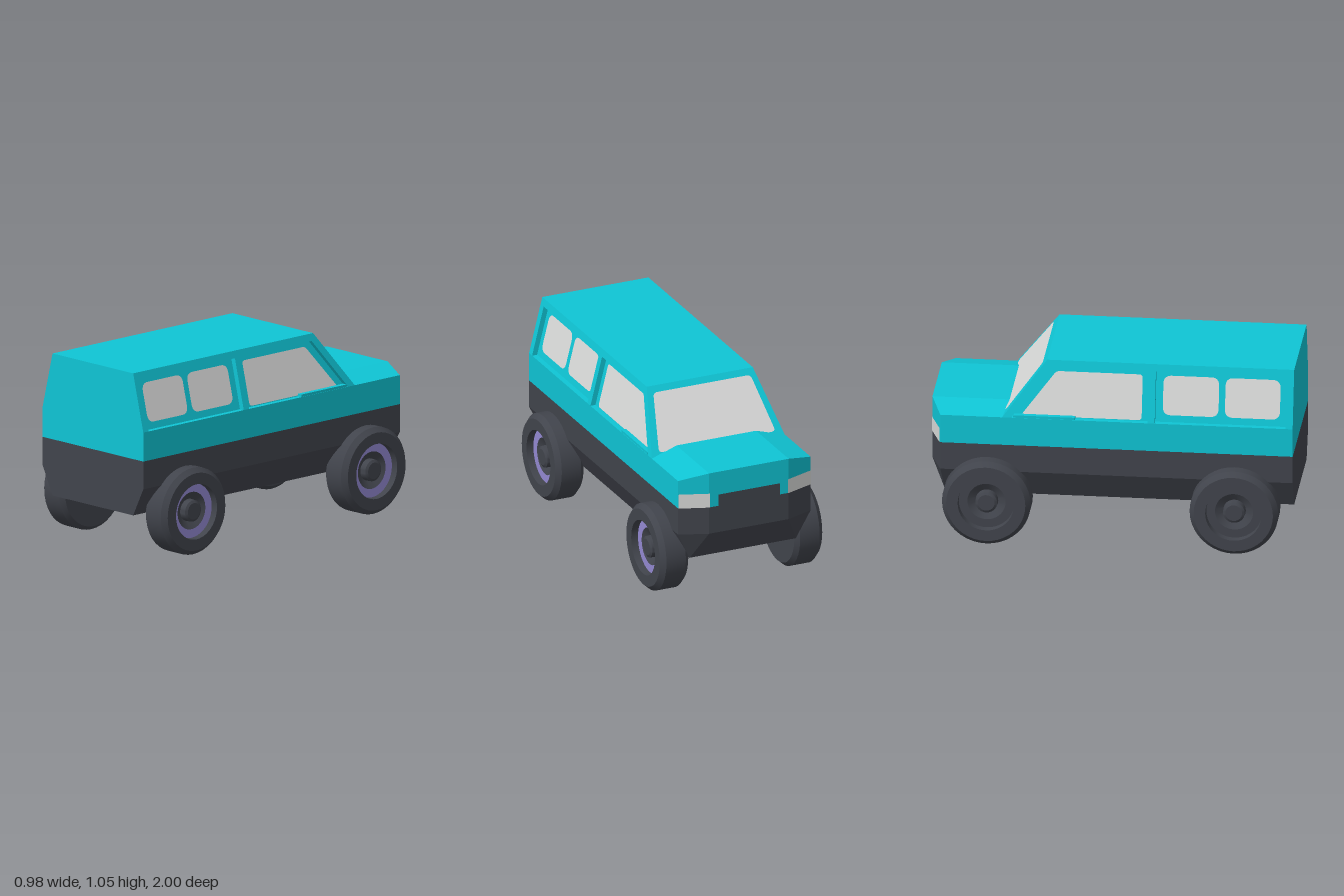
import * as THREE from 'three';
import { toCreasedNormals } from 'three/addons/utils/BufferGeometryUtils.js';

const mat = (name, color) => {
  const m = new THREE.MeshStandardMaterial({ color });
  m.name = name;
  return m;
};

// Flat faces from corner loops, each turned to face away from the body centre
function facesGeometry(faces) {
  const centre = new THREE.Vector3(0, 0.55, 0);
  const out = [];
  for (const face of faces) {
    const p = face.map((c) => new THREE.Vector3(...c));
    for (let i = 1; i < p.length - 1; i++) {
      const [a, b, c] = [p[0], p[i], p[i + 1]];
      const n = b.clone().sub(a).cross(c.clone().sub(a));
      const outward = n.dot(a.clone().sub(centre)) > 0;
      for (const v of outward ? [a, b, c] : [a, c, b]) out.push(v.x, v.y, v.z);
    }
  }
  const g = new THREE.BufferGeometry();
  g.setAttribute('position', new THREE.Float32BufferAttribute(out, 3));
  g.computeVertexNormals();
  return g;
}

// Face plus its mirror image across x = 0
const both = (f) => [f, f.map(([x, y, z]) => [-x, y, z])];
// Symmetric quad spanning x = 0, from two half-width points
const span = ([x1, y1, z1], [x2, y2, z2]) => [[x1, y1, z1], [-x1, y1, z1], [-x2, y2, z2], [x2, y2, z2]];

function warp(geometry, rule) {
  const g = geometry.index ? geometry.toNonIndexed() : geometry;
  const p = g.attributes.position;
  for (let i = 0; i < p.count; i++) p.setXYZ(i, ...rule(p.getX(i), p.getY(i), p.getZ(i)));
  g.computeVertexNormals();
  return g;
}

function mirrorX(geometry) {
  const g = geometry.clone();
  const p = g.attributes.position;
  const q = geometry.attributes.position;
  for (let i = 0; i < p.count; i++) {
    const j = i - (i % 3) + [0, 2, 1][i % 3];
    p.setXYZ(i, -q.getX(j), q.getY(j), q.getZ(j));
  }
  g.computeVertexNormals();
  return g;
}

const polygon = (pts) => new THREE.Shape(pts.map((p) => new THREE.Vector2(...p)));

// Polygon with rounded corners
function rounded(pts, r) {
  const s = new THREE.Shape();
  const v = pts.map((p) => new THREE.Vector2(...p));
  v.forEach((c, i) => {
    const prev = v[(i + v.length - 1) % v.length];
    const next = v[(i + 1) % v.length];
    const a = c.clone().add(prev.clone().sub(c).setLength(r));
    const b = c.clone().add(next.clone().sub(c).setLength(r));
    if (i) s.lineTo(a.x, a.y); else s.moveTo(a.x, a.y);
    s.quadraticCurveTo(c.x, c.y, b.x, b.y);
  });
  s.closePath();
  return s;
}

export function createModel() {
  const paint = mat('turquoise paint', 0x0fc5d5);
  const dark = mat('dark grey', 0x41444c);
  const glass = mat('light grey glass', 0xd9dad9);
  const rimPaint = mat('lilac rim', 0x9389d2);

  const model = new THREE.Group();
  model.name = 'offRoadWagon';
  const add = (name, geometry, material, parent = model) => {
    const m = new THREE.Mesh(geometry, material);
    m.name = name;
    parent.add(m);
    return m;
  };

  const split = 0.567, belt = 0.73, sill = 0.41, floor = 0.25;

  // Painted upper body: roof, tail, windscreen frame, bonnet, nose
  add('upperBody', facesGeometry([
    span([0.32, 1.05, 1], [0.32, 1.05, -0.36]),
    span([0.32, 1.05, 1], [0.4, belt, 1]),
    span([0.4, belt, 1], [0.4, split, 1]),
    span([0.32, 1.05, -0.36], [0.4, belt, -0.6]),
    span([0.24, 0.77, -0.57], [0.24, 0.77, -1]),
    span([0.24, 0.77, -1], [0.24, split, -1]),
    ...both([[0.4, belt, 1], [0.4, belt, -0.94], [0.4, split, -0.94], [0.4, split, 1]]),
    ...both([[0.24, 0.77, -0.57], [0.24, 0.77, -1], [0.4, belt, -0.94], [0.4, belt, -0.6]]),
    ...both([[0.24, 0.77, -1], [0.4, belt, -0.94], [0.4, split, -0.94], [0.24, split, -1]]),
    // ledges below the side windows
    ...both([[0.4, belt, 1], [0.4, belt, -0.6], [0.36, belt, -0.6], [0.36, belt, 1]]),
  ]), paint);

  // Dark lower body
  add('lowerBody', facesGeometry([
    span([0.4, split, 1], [0.4, sill, 1]),
    span([0.4, sill, 1], [0.32, floor, 1]),
    span([0.24, split, -1], [0.24, sill, -1]),
    span([0.24, sill, -1], [0.32, floor, -0.92]),
    span([0.32, floor, 1], [0.32, floor, -0.92]),
    ...both([[0.4, split, 1], [0.4, split, -0.94], [0.4, sill, -0.94], [0.4, sill, 1]]),
    ...both([[0.4, split, -0.94], [0.24, split, -1], [0.24, sill, -1], [0.4, sill, -0.94]]),
    ...both([[0.4, sill, 1], [0.4, sill, -0.94], [0.32, floor, -0.92], [0.32, floor, 1]]),
    ...both([[0.4, sill, -0.94], [0.24, sill, -1], [0.32, floor, -0.92]]),
  ]), dark);

  // Grille and headlights as thin plates on the nose
  add('grille', facesGeometry([span([0.185, split, -1.003], [0.185, 0.635, -1.003])]), dark);
  add('headlights', facesGeometry(
    both([[0.4, split, -0.944], [0.235, split, -1.004], [0.235, 0.65, -1.004], [0.4, 0.65, -0.944]]),
  ), glass);

  // Windscreen pane lying on the sloped front of the cabin
  const screen = rounded([[-0.352, 0.025], [0.352, 0.025], [0.293, 0.36], [-0.293, 0.36]], 0.025);
  add('windscreen', warp(new THREE.ShapeGeometry(screen),
    (u, s) => [-u, belt + 0.8 * s + 0.0024, -0.6 + 0.6 * s - 0.0032]), glass);

  // Cabin sides: leaning outer frame, recessed panels and panes, drawn in (-z, y)
  const depth = 0.03;
  const lean = (a, y, d) => [0.4 - 0.25 * (y - belt) - depth + d, y, -a];
  const frame = polygon([
    [-1, belt], [-0.96, belt], [-0.96, 1.01], [-0.24, 1.01], [-0.24, belt], [-0.2, belt],
    [-0.2, 1.01], [0.34, 1.01], [0.55, belt], [0.6, belt], [0.36, 1.05], [-1, 1.05],
  ]);
  const rearPanel = polygon([[-0.96, belt], [-0.24, belt], [-0.24, 1.01], [-0.96, 1.01]]);
  const doorPanel = polygon([[-0.2, belt], [0.55, belt], [0.34, 1.01], [-0.2, 1.01]]);
  const box = (a, b) => rounded([[a, 0.767], [b, 0.767], [b, 0.98], [a, 0.98]], 0.045);
  const rearPanes = [box(-0.925, -0.622), box(-0.587, -0.28)];
  const doorPane = rounded([[-0.165, 0.734], [0.5, 0.734], [0.31, 0.98], [-0.165, 0.98]], 0.02);
  rearPanel.holes.push(...rearPanes);
  doorPanel.holes.push(doorPane);

  const sideParts = [
    ['windowFrame', new THREE.ExtrudeGeometry(frame, { depth, bevelEnabled: false }), paint],
    ['windowPanels', new THREE.ShapeGeometry([rearPanel, doorPanel]), paint],
    ['sideWindows', new THREE.ShapeGeometry([...rearPanes, doorPane]), glass],
  ].map(([name, g, m]) => [name, warp(g, lean), m]);
  // Small raised strip at the front of the door ledge
  sideParts.push(['doorStrip', new THREE.BoxGeometry(0.028, 0.014, 0.34)
    .translate(0.384, 0.737, -0.37).toNonIndexed(), paint]);
  for (const [name, g, m] of sideParts) {
    add(name + 'Left', g, m);
    add(name + 'Right', mirrorX(g), m);
  }

  // Wheels: profiles are (radius, distance from the car's centre line)
  const lathe = (pts, side) => toCreasedNormals(
    new THREE.LatheGeometry(pts.map((p) => new THREE.Vector2(...p)), 40).rotateZ(-side * Math.PI / 2), 0.5);
  const tyre = [[0, 0.32], [0.222, 0.32], [0.244, 0.345], [0.244, 0.462], [0.218, 0.49],
    [0.155, 0.49], [0.153, 0.45]];
  const ring = [[0.153, 0.45], [0.105, 0.45]];
  const hub = [[0.105, 0.45], [0.062, 0.425], [0.06, 0.462], [0.046, 0.47], [0, 0.47]];
  for (const side of [1, -1]) {
    for (const z of [0.683, -0.68]) {
      const wheel = new THREE.Group();
      wheel.name = (z > 0 ? 'rear' : 'front') + 'Wheel' + (side > 0 ? 'Left' : 'Right');
      wheel.position.set(0, 0.247, z);
      add('tyre', lathe(tyre, side), dark, wheel);
      add('rim', lathe(ring, side), side > 0 ? rimPaint : dark, wheel);
      add('hub', lathe(hub, side), dark, wheel);
      model.add(wheel);
    }
  }
  return model;
}
